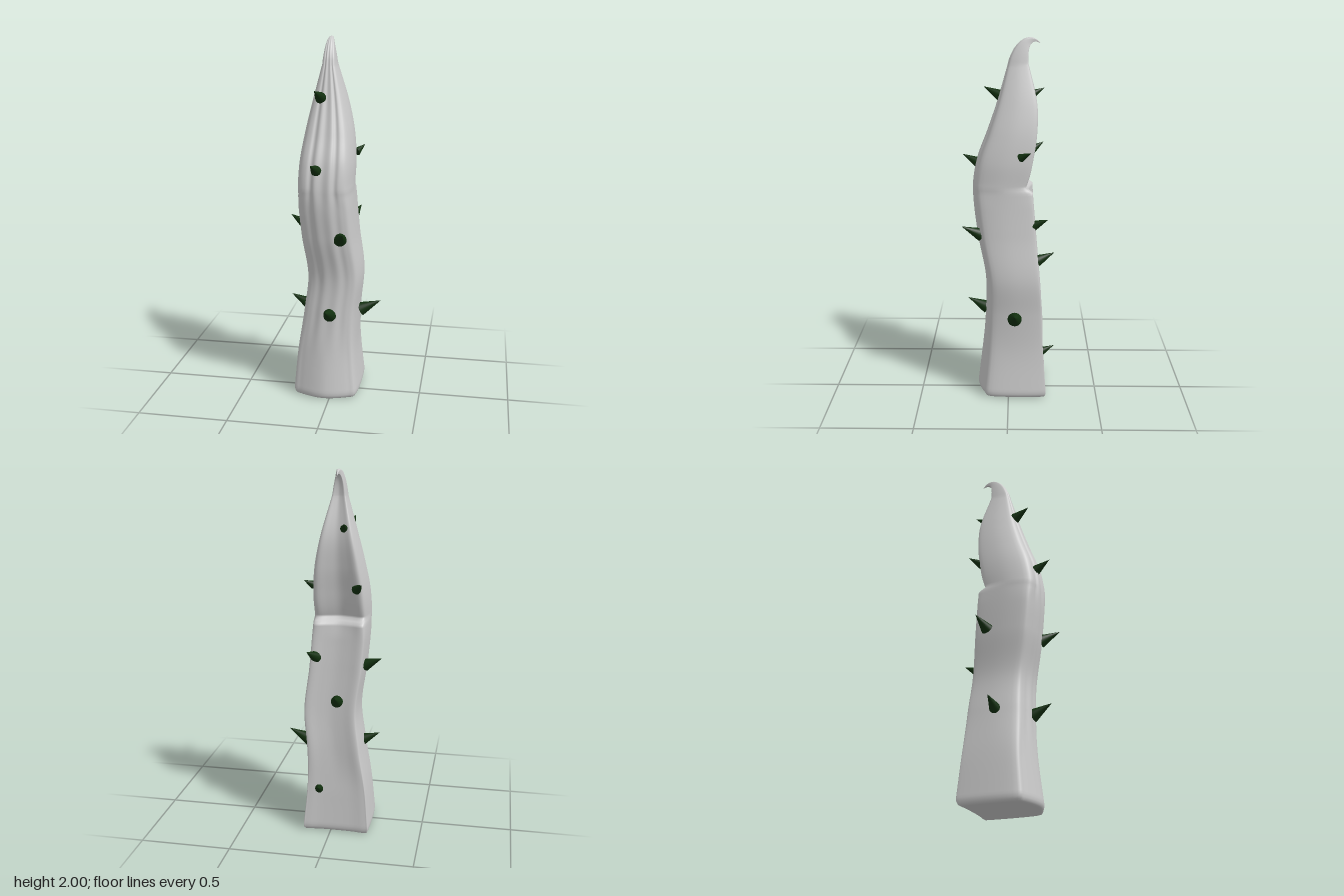
import * as THREE from 'three';

const SEGMENTS = 72;
const { smoothstep } = THREE.MathUtils;

// Half outlines from front centre round the +x side to back centre, in -1..1
const squareHalf = [[0, 1], [0.25, 0.97], [0.5, 0.9], [0.75, 0.8], [0.94, 0.66],
  [1, 0], [0.98, -0.9], [0.9, -1], [0.5, -0.97], [0, -0.96]];
const ridgedHalf = [[0, 0.95], [0.25, 1], [0.42, 0.9], [0.6, 0.92], [0.85, 0.72],
  [1, 0], [0.93, -0.78], [0.78, -1], [0.4, -0.9], [0, -0.82]];

function outline(half) {
  const mirrored = half.slice(1, -1).reverse().map(([x, z]) => [-x, z]);
  const points = [...half, ...mirrored].map(([x, z]) => new THREE.Vector3(x, 0, z));
  const curve = new THREE.CatmullRomCurve3(points, true, 'catmullrom', 0.5);
  return curve.getPoints(SEGMENTS).slice(0, SEGMENTS);
}

// Stalk extents by height: y, x min, x max, z back, z front
const extents = [
  [0, -0.222, 0.161, -0.213, 0.18],
  [0.28, -0.196, 0.136, -0.194, 0.147],
  [0.5, -0.166, 0.144, -0.188, 0.13],
  [0.7, -0.143, 0.161, -0.172, 0.128],
  [0.95, -0.17, 0.135, -0.15, 0.174],
  [1.2, -0.185, 0.119, -0.132, 0.196],
  [1.35, -0.18, 0.121, -0.138, 0.174],
  [1.5, -0.157, 0.106, -0.153, 0.119],
  [1.65, -0.124, 0.073, -0.153, 0.067],
  [1.86, -0.069, 0.012, -0.105, 0.006],
];

// Body sections: smooth between the extents, with a rounded foot and a back ledge
function bodySections() {
  const profile = new THREE.CubicInterpolant(
    extents.map((row) => row[0]), new Float32Array(extents.flatMap((row) => row.slice(1))), 4);
  const heights = [0, 0.004, 0.012, 0.024];
  for (let i = 0; i <= 130; i++) heights.push(0.04 + 0.014 * i);
  return heights.map((y) => {
    const [x0, x1, z0, z1] = profile.evaluate(y);
    const inset = 0.025 * (1 - Math.sqrt(1 - Math.max(0, 1 - y / 0.04) ** 2));
    const ledge = 0.042 * smoothstep(y, 1.19, 1.217) * Math.exp(-Math.max(0, y - 1.21) / 0.09);
    return {
      centre: [(x0 + x1) / 2, y, (z0 + ledge + z1) / 2],
      halfX: (x1 - x0) / 2 - inset,
      halfZ: (z1 - z0 - ledge) / 2 - inset,
      ridge: 0.5 * smoothstep(y, 0.2, 0.5) + 0.5 * smoothstep(y, 1.1, 1.25),
      tilt: 0,
    };
  });
}

// Hook sections: shrink along a curve that bends backwards
function hookSections() {
  const path = new THREE.CubicBezierCurve3(
    new THREE.Vector3(-0.0285, 1.86, -0.0495), new THREE.Vector3(-0.03, 1.99, -0.065),
    new THREE.Vector3(-0.031, 2.01, -0.13), new THREE.Vector3(-0.031, 1.966, -0.17));
  return Array.from({ length: 24 }, (_, i) => {
    const t = (i + 1) / 24;
    const tangent = path.getTangent(t);
    const shrink = (1 - t) ** 1.3;
    return {
      centre: path.getPoint(t).toArray(),
      halfX: 0.0405 * shrink,
      halfZ: 0.0555 * shrink,
      ridge: 1 - t,
      tilt: Math.atan2(-tangent.z, tangent.y),
    };
  });
}

function stalkGeometry() {
  const square = outline(squareHalf), ridged = outline(ridgedHalf);
  const body = bodySections();
  const sole = { ...body[0], halfX: 0, halfZ: 0 };
  const sections = [sole, ...body, ...hookSections()];
  const positions = [], indices = [];
  sections.forEach(({ centre, halfX, halfZ, ridge, tilt }, i) => {
    for (let j = 0; j < SEGMENTS; j++) {
      const p = square[j].clone().lerp(ridged[j], ridge);
      positions.push(centre[0] + p.x * halfX,
        centre[1] + p.z * halfZ * Math.sin(tilt), centre[2] + p.z * halfZ * Math.cos(tilt));
      if (i === sections.length - 1) continue;
      const a = i * SEGMENTS + j, b = i * SEGMENTS + (j + 1) % SEGMENTS;
      indices.push(a, b, b + SEGMENTS, a, b + SEGMENTS, a + SEGMENTS);
    }
  });
  const geometry = new THREE.BufferGeometry();
  geometry.setAttribute('position', new THREE.Float32BufferAttribute(positions, 3));
  geometry.setIndex(indices);
  geometry.computeVertexNormals();
  return geometry;
}

// Thorns: tip x, y, z, then base x, z
const thorns = [
  [-0.265, 1.005, -0.105, -0.17, -0.075],
  [-0.25, 0.55, -0.037, -0.15, -0.03],
  [0.265, 0.54, -0.036, 0.15, -0.035],
  [-0.08, 1.737, 0.135, -0.062, 0.045],
  [-0.08, 1.367, 0.255, -0.065, 0.17],
  [0.09, 1.0, 0.255, 0.06, 0.15],
  [-0.01, 0.55, 0.23, -0.002, 0.12],
  [0.156, 1.42, -0.12, 0.115, -0.065],
  [-0.073, 1.732, -0.192, -0.063, -0.13],
  [-0.165, 1.42, -0.193, -0.128, -0.125],
  [0.125, 1.05, -0.215, 0.09, -0.125],
  [-0.036, 0.812, -0.257, -0.03, -0.16],
  [0.061, 0.288, -0.257, 0.066, -0.18],
];

// Each thorn rises towards its tip, and is thicker the longer it is
function thornMesh([x, y, z, baseX, baseZ], material) {
  const reach = Math.hypot(x - baseX, z - baseZ);
  const tip = new THREE.Vector3(x, y, z);
  const base = new THREE.Vector3(baseX, y - 0.5 * reach, baseZ);
  const direction = tip.clone().sub(base);
  const mesh = new THREE.Mesh(
    new THREE.ConeGeometry(0.34 * reach, direction.length(), 20), material);
  mesh.position.copy(base).add(tip).multiplyScalar(0.5);
  mesh.quaternion.setFromUnitVectors(new THREE.Vector3(0, 1, 0), direction.normalize());
  mesh.name = 'thorn';
  return mesh;
}

export function createModel() {
  const model = new THREE.Group();
  model.name = 'thornyStalk';

  // Curved stalk with a squared foot, a ledge at the back and a hooked tip
  const stalk = new THREE.Mesh(stalkGeometry(),
    new THREE.MeshStandardMaterial({ color: 0xcccccc }));
  stalk.name = 'stalk';
  model.add(stalk);

  // Dark green thorns scattered around the stalk
  const green = new THREE.MeshStandardMaterial({ color: 0x12300f });
  const thornGroup = new THREE.Group();
  thornGroup.name = 'thorns';
  thorns.forEach((thorn) => thornGroup.add(thornMesh(thorn, green)));
  model.add(thornGroup);
  return model;
}
